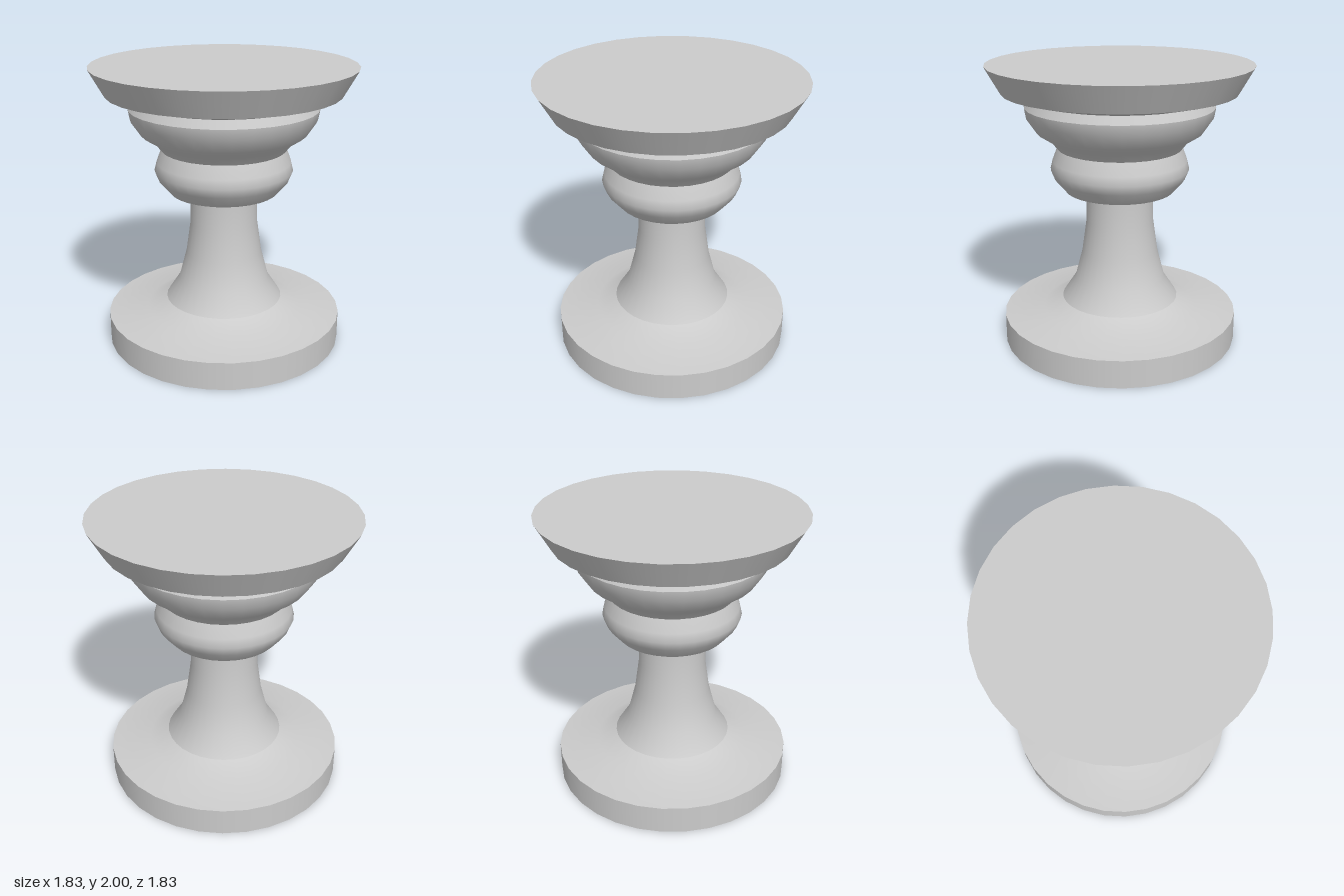
import * as THREE from 'three';

const SIDES = 32;
const material = new THREE.MeshStandardMaterial({ color: 0xcccccc });

// Each part is a list of smooth profile runs [radius, height], listed bottom to top;
// the breaks between runs stay sharp.
const PARTS = {
  base: [
    [[0, 0], [0.845, 0]],
    [[0.845, 0], [0.845, 0.2]],
    [[0.845, 0.2], [0.56, 0.23], [0.42, 0.3]],
  ],
  stem: [
    [[0.42, 0.3], [0.325, 0.446], [0.272, 0.65], [0.24, 0.88], [0.238, 1.066]],
  ],
  lowerRing: [
    [[0.238, 1.066], [0.385, 1.112]],
    [[0.385, 1.112], [0.46, 1.2], [0.487, 1.267], [0.472, 1.328], [0.438, 1.418]],
  ],
  upperBowl: [
    [[0.438, 1.418], [0.487, 1.48], [0.58, 1.54], [0.647, 1.64], [0.66, 1.712]],
    [[0.66, 1.712], [0.632, 1.768]],
  ],
  top: [
    [[0.632, 1.768], [0.812, 1.815]],
    [[0.812, 1.815], [0.915, 2]],
    [[0.915, 2], [0, 2]],
  ],
};

export function createModel() {
  const model = new THREE.Group();
  model.name = 'pedestal';
  for (const [name, runs] of Object.entries(PARTS)) {
    const part = new THREE.Group();
    part.name = name;
    runs.forEach((run, i) => {
      const points = run.map(([r, y]) => new THREE.Vector2(r, y));
      const mesh = new THREE.Mesh(new THREE.LatheGeometry(points, SIDES), material);
      mesh.name = `${name}Surface${i + 1}`;
      part.add(mesh);
    });
    model.add(part);
  }
  return model;
}
